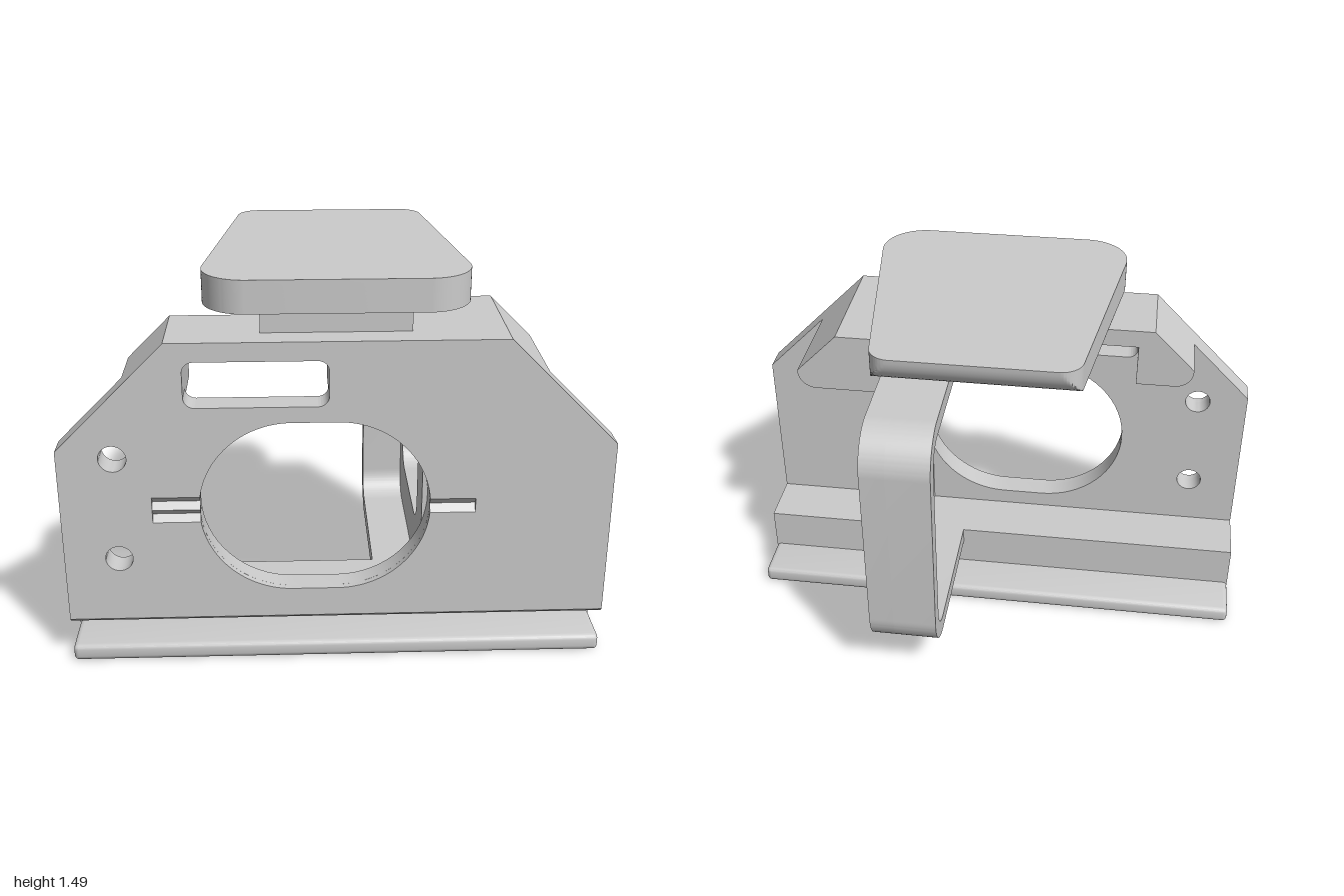
import * as THREE from 'three';
import { toCreasedNormals } from 'three/addons/utils/BufferGeometryUtils.js';
import { RoundedBoxGeometry } from 'three/addons/geometries/RoundedBoxGeometry.js';

const material = new THREE.MeshStandardMaterial({ color: 0xcccccc });
const H = Math.PI / 2;

export function createModel() {
  const group = new THREE.Group();
  const add = (name, geometry) => {
    const mesh = new THREE.Mesh(toCreasedNormals(geometry, 0.5), material);
    mesh.name = name;
    group.add(mesh);
  };
  const poly = (pts) => new THREE.Shape(pts.map(([x, y]) => new THREE.Vector2(x, y)));
  const extrude = (shape, from, to, steps = 1) =>
    new THREE.ExtrudeGeometry(shape, { depth: to - from, steps, bevelEnabled: false, curveSegments: 16 })
      .translate(0, 0, from);
  // Shapes drawn as (-z, y) run along x; shapes drawn as (x, -z) run along y
  const alongX = (shape, from, to) => extrude(shape, from, to).rotateY(H);
  const alongY = (shape, from, to, steps) => extrude(shape, from, to, steps).rotateX(-H);
  const roundedRect = (path, x0, y0, x1, y1, r) => {
    path.absarc(x1 - r, y0 + r, r, -H, 0);
    path.absarc(x1 - r, y1 - r, r, 0, H);
    path.absarc(x0 + r, y1 - r, r, H, 2 * H);
    path.absarc(x0 + r, y0 + r, r, 2 * H, 3 * H);
    path.closePath();
    return path;
  };
  const box = (name, x0, x1, y0, y1, z0, z1) =>
    add(name, new THREE.BoxGeometry(x1 - x0, y1 - y0, z1 - z0)
      .translate((x0 + x1) / 2, (y0 + y1) / 2, (z0 + z1) / 2));

  // Base rail: foot strip, web and shelf
  add('railFoot', new RoundedBoxGeometry(2, 0.065, 0.5, 2, 0.018).translate(0, 0.0325, 0.26));
  add('railWebAndShelf', alongX(poly([
    [-0.19, 0.05], [-0.19, 0.235], [-0.51, 0.235], [-0.51, 0.185],
    [-0.495, 0.17], [-0.325, 0.17], [-0.325, 0.05],
  ]), -1, 1));

  // Front plate in two layers; the front layer carries the groove cut-outs
  const grooves = { left: 0.0275, right: 0.05 };
  const plateShape = (notched) => {
    const shape = poly([[-1, 0.235], [1, 0.235], [1, 0.87], [0.6, 1.27], [-0.6, 1.27], [-1, 0.87]]);
    const cy = 0.635, r = 0.335, a = Math.asin(grooves.left / r), b = Math.asin(grooves.right / r);
    const oval = new THREE.Path();
    if (notched) {
      oval.absarc(0, cy, r, -H, -a);
      oval.lineTo(0.5, cy - grooves.left);
      oval.lineTo(0.5, cy + grooves.left);
      oval.absarc(0, cy, r, a, H);
      oval.absarc(-0.165, cy, r, H, 2 * H - b);
      oval.lineTo(-0.67, cy + grooves.right);
      oval.lineTo(-0.67, cy - grooves.right);
      oval.absarc(-0.165, cy, r, 2 * H + b, 3 * H);
    } else {
      oval.absarc(0, cy, r, -H, H);
      oval.absarc(-0.165, cy, r, H, 3 * H);
    }
    oval.closePath();
    shape.holes.push(oval, roundedRect(new THREE.Path(), -0.54, 1.03, -0.03, 1.2, 0.04));
    for (const y of [0.44, 0.84]) {
      shape.holes.push(new THREE.Path().absarc(-0.8, y, 0.05, 0, 4 * H));
    }
    return shape;
  };
  add('plateRear', extrude(plateShape(false), 0.41, 0.485));
  add('plateFront', extrude(plateShape(true), 0.485, 0.51));

  // V-shaped groove floors
  const grooveFloor = (name, x0, x1, half, count) => {
    const pts = [[-0.48, 0.635 + half], [-0.51, 0.635 + half]];
    const step = half / count;
    for (let i = 1; i <= 2 * count; i++) pts.push([i % 2 ? -0.487 : -0.51, 0.635 + half - i * step]);
    pts.push([-0.48, 0.635 - half]);
    add(name, alongX(poly(pts), x0, x1));
  };
  grooveFloor('doubleGroove', -0.67, -0.497, grooves.right, 2);
  grooveFloor('singleGroove', 0.334, 0.5, grooves.left, 1);

  // Ledge behind the top of the plate: shallow with a slot on one side, deep on the other
  const shallow = poly([
    [0.15, 1.035], [0.15, 1.27], [-0.6, 1.27], [-0.76, 1.11],
  ]);
  shallow.absarc(-0.69, 1.105, 0.07, 2 * H, 3 * H);
  [[-0.54, 1.035], [-0.54, 1.2], [-0.03, 1.2], [-0.03, 1.035]].forEach(([x, y]) => shallow.lineTo(x, y));
  add('shallowLedge', extrude(shallow, 0.205, 0.41));
  const deep = poly([[0.35, 1.035], [0.35, 1.105], [0.15, 1.105], [0.15, 1.27], [0.6, 1.27], [0.76, 1.11]]);
  deep.absarc(0.69, 1.105, 0.07, 0, -H, true);
  add('deepLedge', extrude(deep, 0.01, 0.41));

  // Side tray: windowed wall with a rim open towards the plate
  const wall = poly([[-0.41, 1.17], [-0.41, 0.17]]);
  wall.absarc(0.35, 0.33, 0.16, -H, 0);
  wall.absarc(0.35, 1.01, 0.16, 0, H);
  wall.holes.push(roundedRect(new THREE.Path(), -0.24, 0.42, 0.36, 0.92, 0.1));
  add('trayWall', alongX(wall, 0.315, 0.41));
  const rim = poly([[-0.41, 0.235], [-0.41, 0.17]]);
  rim.absarc(0.35, 0.33, 0.16, -H, 0);
  rim.absarc(0.35, 1.01, 0.16, 0, H);
  rim.lineTo(-0.41, 1.17);
  rim.lineTo(-0.41, 1.105);
  rim.absarc(0.35, 1.01, 0.095, H, 0, true);
  rim.absarc(0.35, 0.33, 0.095, 0, -H, true);
  add('trayRim', alongX(rim, 0.15, 0.315));

  // Concave fillet joining the tray wall to the plate
  const fillet = poly([[0.4, -0.42], [0.57, -0.42], [0.57, -0.41]]);
  fillet.absarc(0.57, -0.25, 0.16, 3 * H, 2 * H, true);
  fillet.lineTo(0.4, -0.25);
  add('trayFillet', alongY(fillet, 0.235, 1.035));

  // Neck under the cover, flaring backwards
  const neck = poly([[-0.41, 1.37], [-0.41, 1.2], [-0.01, 1.2], [-0.01, 1.21]]);
  neck.absarc(0.15, 1.21, 0.16, 2 * H, H, true);
  add('neck', alongX(neck, -0.27, 0.265));

  // Tapered cover with rounded corners and a rounded lower back edge
  const cover = new THREE.Shape();
  const lean = 0.13;
  cover.absarc(0.31, -0.35, 0.16, -H, lean);
  cover.absarc(0.285, 0.4, 0.08, lean, H);
  cover.absarc(-0.285, 0.4, 0.08, H, 2 * H - lean);
  cover.absarc(-0.31, -0.35, 0.16, 2 * H - lean, 3 * H);
  cover.closePath();
  const coverGeometry = alongY(cover, 0, 1, 12);
  const p = coverGeometry.attributes.position;
  for (let i = 0; i < p.count; i++) {
    const angle = (1 - p.getY(i)) * H;
    p.setY(i, 1.49 - 0.12 * Math.sin(angle));
    p.setZ(i, Math.max(p.getZ(i), -0.36 - 0.12 * Math.cos(angle)));
  }
  add('cover', coverGeometry);

  return group;
}
